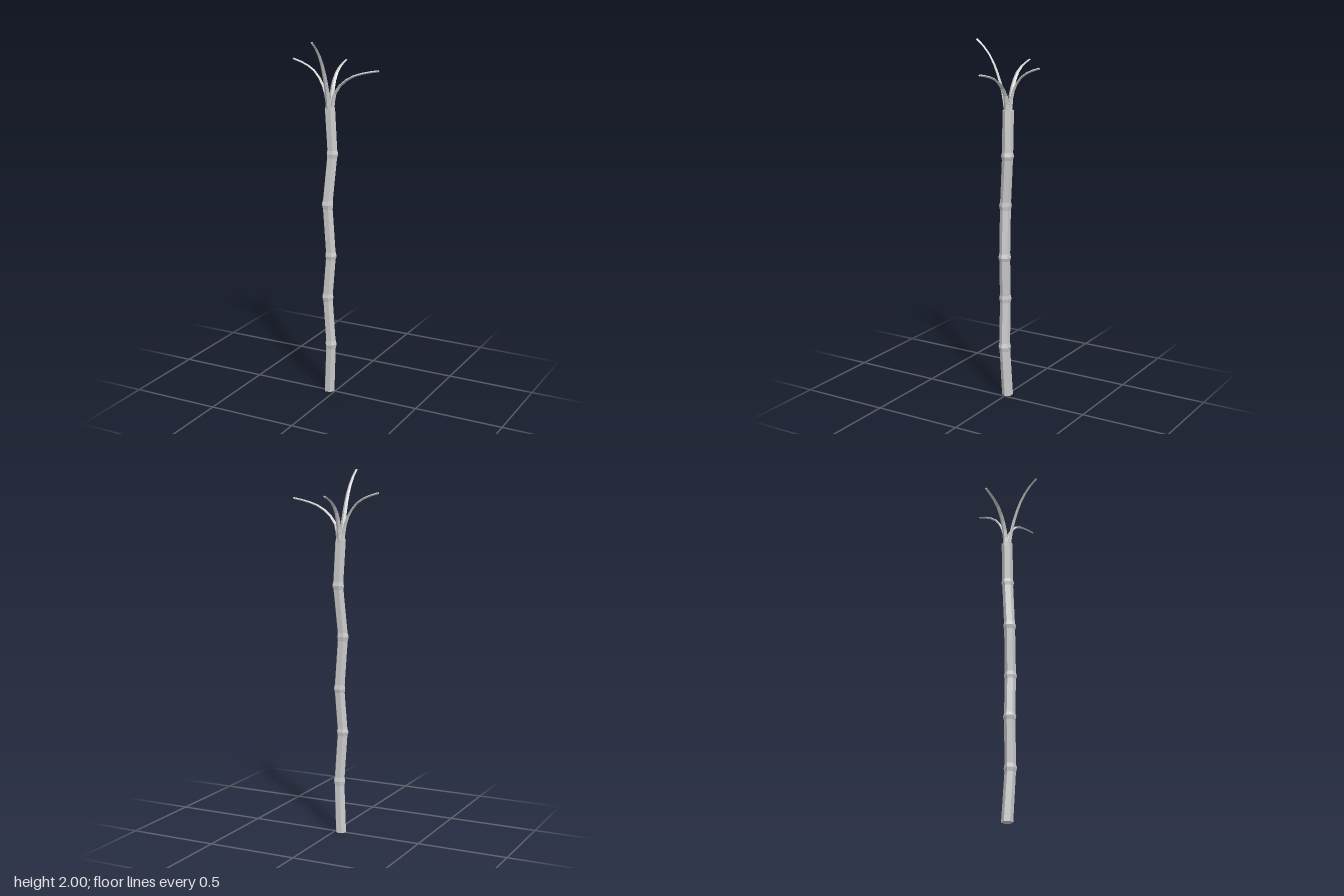
import * as THREE from 'three';

const material = new THREE.MeshStandardMaterial({ color: 0xcccccc, flatShading: true });

// Closed solid skinned over equal-sized rings of points
function loft(name, rings) {
  const n = rings[0].length, index = [];
  rings.slice(1).forEach((_, r) => {
    for (let i = 0; i < n; i++) {
      const a = r * n + i, b = r * n + (i + 1) % n;
      index.push(a, b, b + n, a, b + n, a + n);
    }
  });
  const last = (rings.length - 1) * n;
  for (let i = 1; i < n - 1; i++) {
    index.push(0, i + 1, i, last, last + i, last + i + 1);
  }
  const geometry = new THREE.BufferGeometry().setFromPoints(rings.flat());
  geometry.setIndex(index);
  const flat = geometry.toNonIndexed();
  flat.computeVertexNormals();
  const mesh = new THREE.Mesh(flat, material);
  mesh.name = name;
  return mesh;
}

// Horizontal hexagon with corners towards +x and -x
function hexagon(x, y, z, r) {
  return Array.from({ length: 6 }, (_, i) => {
    const a = -i * Math.PI / 3;
    return new THREE.Vector3(x + r * Math.cos(a), y, z + r * Math.sin(a));
  });
}

// Zigzag stalk with a raised joint at every bend: [x, y, z]
function stalk() {
  const bends = [
    [-0.035, 0, 0], [-0.02, 0.29, 0.01], [-0.037, 0.57, 0.016], [-0.02, 0.81, 0.01],
    [-0.038, 1.1, 0.016], [-0.02, 1.38, -0.008], [-0.033, 1.627, -0.004],
  ].map((p) => new THREE.Vector3(...p));
  const rings = [];
  const add = (p, r) => rings.push(hexagon(p.x, p.y, p.z, r));
  bends.forEach((p, i) => {
    if (i === 0 || i === bends.length - 1) return add(p, 0.031);
    add(p.clone().lerp(bends[i - 1], 0.08), 0.03);
    add(p, 0.035);
    add(p.clone().lerp(bends[i + 1], 0.08), 0.03);
  });
  return loft('stalk', rings);
}

// Tapering diamond-section leaf, curling outwards along +x: path points [outward, up]
function leaf(name, path, angle) {
  const curve = new THREE.CatmullRomCurve3(path.map(([d, y]) => new THREE.Vector3(d, y, 0)));
  const steps = 8, rings = [];
  for (let i = 0; i <= steps; i++) {
    const t = i / steps, p = curve.getPointAt(t), dir = curve.getTangentAt(t);
    const inward = new THREE.Vector3(-dir.y, dir.x, 0);
    const half = THREE.MathUtils.lerp(0.017, 0.0075, Math.min(1, t * 1.1));
    const thick = 0.0055 + 0.0085 * Math.pow(1 - t, 3);
    const side = new THREE.Vector3(0, 0, half);
    rings.push([
      p.clone().addScaledVector(inward, thick), p.clone().sub(side),
      p.clone().addScaledVector(inward, -thick), p.clone().add(side),
    ].reverse());
  }
  const mesh = loft(name, rings);
  mesh.position.set(-0.033, 0, -0.005);
  mesh.rotation.y = angle;
  return mesh;
}

export function createModel() {
  const group = new THREE.Group();
  group.name = 'caneStalk';
  group.add(stalk());
  group.add(
    leaf('leftLeaf', [[0.013, 1.61], [0.018, 1.66], [0.033, 1.715], [0.075, 1.765],
      [0.13, 1.802], [0.2, 1.826], [0.285, 1.843]], 0),
    leaf('rightLeaf', [[0.013, 1.61], [0.016, 1.65], [0.026, 1.70], [0.052, 1.765],
      [0.1, 1.825], [0.155, 1.855], [0.222, 1.876]], Math.PI),
    leaf('frontLeaf', [[0.014, 1.61], [0.02, 1.65], [0.035, 1.72], [0.06, 1.80],
      [0.095, 1.88], [0.145, 1.95], [0.198, 1.995]], -Math.PI / 2),
    leaf('backLeaf', [[0.013, 1.61], [0.015, 1.65], [0.022, 1.70], [0.046, 1.765],
      [0.085, 1.813], [0.135, 1.842], [0.188, 1.86]], Math.PI / 2),
  );
  return group;
}
